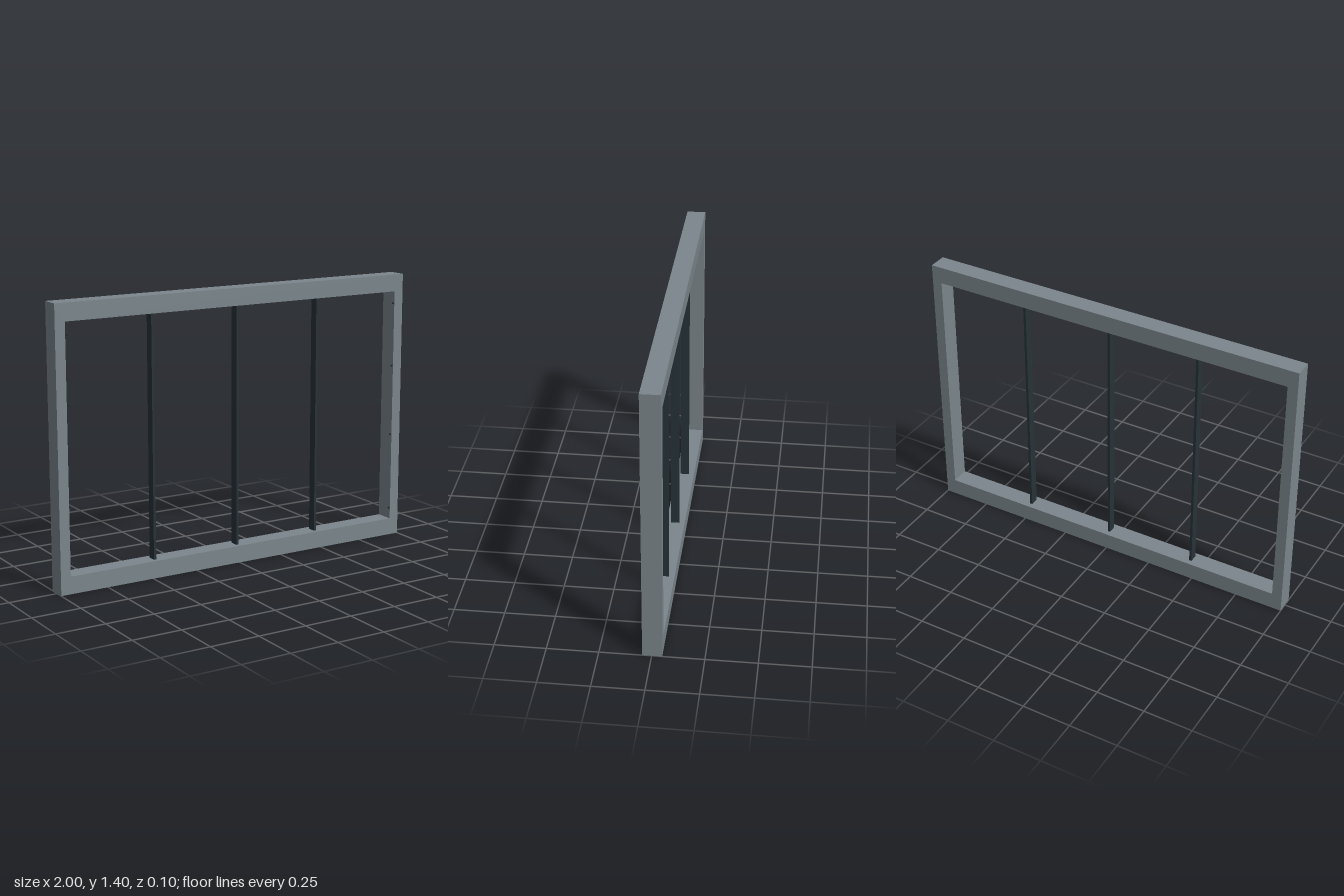
import * as THREE from 'three';

export function createModel() {
  const group = new THREE.Group();
  const frameGrey = new THREE.MeshStandardMaterial({ name: 'frame grey', color: 0x7b868c });
  const barDark = new THREE.MeshStandardMaterial({ name: 'bar dark slate', color: 0x263238 });
  const pinDark = new THREE.MeshStandardMaterial({ name: 'pin dark', color: 0x22262a });

  function add(name, geometry, material, x, y, z) {
    const mesh = new THREE.Mesh(geometry, material);
    mesh.name = name;
    mesh.position.set(x, y, z);
    group.add(mesh);
  }

  // Rectangular frame: an outer rectangle with one opening
  const height = 1.4, sideWidth = 0.052, railHeight = 0.088;
  const rectangle = (x, y0, y1) => [
    new THREE.Vector2(-x, y0), new THREE.Vector2(x, y0),
    new THREE.Vector2(x, y1), new THREE.Vector2(-x, y1),
  ];
  const outline = new THREE.Shape(rectangle(1, 0, height));
  outline.holes.push(new THREE.Path(rectangle(1 - sideWidth, railHeight, height - railHeight)));
  add('frame', new THREE.ExtrudeGeometry(outline, { depth: 0.095, bevelEnabled: false }), frameGrey, 0, 0, -0.05);

  // Three flat upright bars across the opening
  const bar = new THREE.BoxGeometry(0.013, height - 2 * railHeight, 0.044);
  for (const x of [-0.477, 0, 0.477]) add('uprightBar', bar, barDark, x, height / 2, 0);

  // Small pins along the inner front edges of both sides
  const pin = new THREE.SphereGeometry(0.005, 12, 8);
  for (const side of [-1, 1]) {
    for (const y of [0.15, 0.553, 0.922, 1.252]) add('pin', pin, pinDark, side * 0.939, y, 0.045);
  }

  return group;
}
